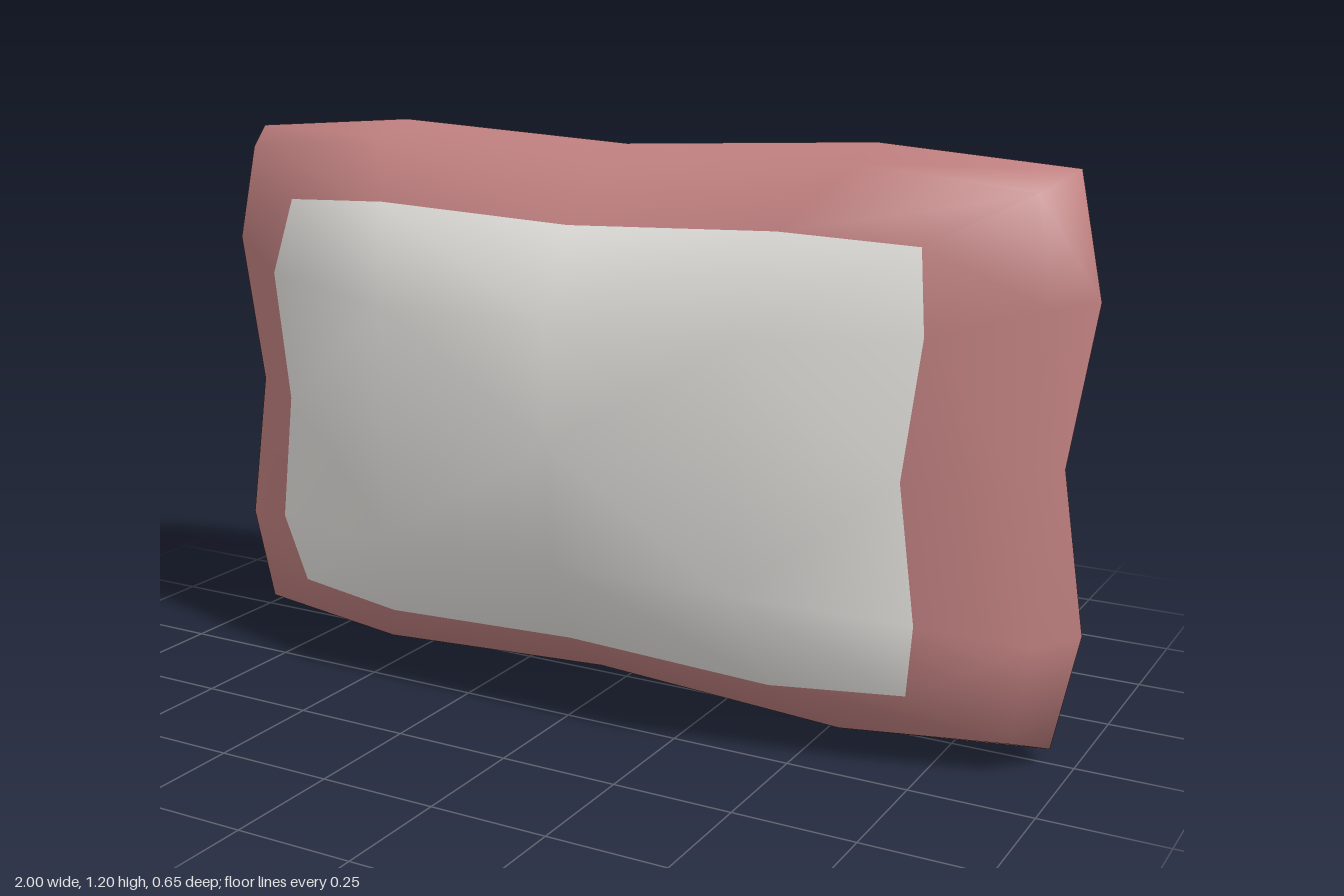
import * as THREE from 'three';
import { mergeVertices } from 'three/addons/utils/BufferGeometryUtils.js';

const CENTRE_Y = 0.598;

// Each ring is one quadrant: side middle, side bulge, corner, top bulge, top middle.
const SEAM = [[0.95, 0, 0], [1, 0.325, 0], [0.95, 0.568, 0], [0.55, 0.598, 0], [0, 0.57, 0]];
const SHOULDER = [[0.89, 0, 0.11], [0.94, 0.325, 0.11], [0.9, 0.53, 0.1], [0.55, 0.565, 0.11], [0, 0.535, 0.11]];
const BORDER = [[0.71, 0, 0.24], [0.745, 0.275, 0.237], [0.72, 0.433, 0.197], [0.45, 0.448, 0.237], [0, 0.43, 0.24]];
const CROWN = [[0.4, 0, 0.325], [0.4, 0.245, 0.325], [0.4, 0.245, 0.325], [0.4, 0.245, 0.325], [0, 0.245, 0.325]];
const MIDDLE = Array(5).fill([0, 0, 0.325]);

// Mirror a quadrant into a closed loop of 16 points, counter-clockwise from +z
function fullRing(q, side) {
  const flip = (p, sx, sy) => [p[0] * sx, p[1] * sy + CENTRE_Y, p[2] * side];
  return [
    ...[0, 1, 2, 3].map(i => flip(q[i], 1, 1)),
    ...[4, 3, 2, 1].map(i => flip(q[i], -1, 1)),
    ...[0, 1, 2, 3].map(i => flip(q[i], -1, -1)),
    ...[4, 3, 2, 1].map(i => flip(q[i], 1, -1)),
  ];
}

export function createModel() {
  const rose = new THREE.MeshStandardMaterial({ color: 0xc08080 });
  rose.name = 'rose fabric';
  const white = new THREE.MeshStandardMaterial({ color: 0xe8e6e2 });
  white.name = 'white fabric';

  const positions = [], casing = [], frontPanel = [], backPanel = [];
  for (const side of [1, -1]) {
    const start = positions.length / 3;
    [SEAM, SHOULDER, BORDER, CROWN, MIDDLE].forEach(q => positions.push(...fullRing(q, side).flat()));
    for (let r = 0; r < 4; r++) {
      const target = r < 2 ? casing : side > 0 ? frontPanel : backPanel;
      for (let i = 0; i < 16; i++) {
        const a = start + r * 16 + i, b = start + r * 16 + (i + 1) % 16;
        const c = b + 16, d = a + 16;
        // Split each quad symmetrically about the middle lines
        const even = Math.floor(i / 4) % 2 === 0;
        const tris = even ? [[a, b, c], [a, c, d]] : [[a, b, d], [b, c, d]];
        for (const [p, q, s] of tris) target.push(...(side > 0 ? [p, q, s] : [p, s, q]));
      }
    }
  }

  // Weld everything so that the shading runs smoothly over the seam and panels
  let body = new THREE.BufferGeometry();
  body.setAttribute('position', new THREE.Float32BufferAttribute(positions, 3));
  body.setIndex([...casing, ...frontPanel, ...backPanel]);
  body = mergeVertices(body, 1e-4);
  body.computeVertexNormals();

  const group = new THREE.Group();
  group.name = 'pillow';
  const welded = Array.from(body.index.array);
  let offset = 0;
  const addPart = (name, count, material) => {
    const geometry = new THREE.BufferGeometry();
    geometry.setAttribute('position', body.attributes.position);
    geometry.setAttribute('normal', body.attributes.normal);
    // Leave out triangles collapsed by the weld
    const index = [];
    for (let i = offset; i < offset + count; i += 3) {
      const [a, b, c] = welded.slice(i, i + 3);
      if (a !== b && b !== c && c !== a) index.push(a, b, c);
    }
    offset += count;
    geometry.setIndex(index);
    const mesh = new THREE.Mesh(geometry, material);
    mesh.name = name;
    group.add(mesh);
  };
  addPart('casing', casing.length, rose);
  addPart('frontPanel', frontPanel.length, white);
  addPart('backPanel', backPanel.length, white);
  return group;
}
